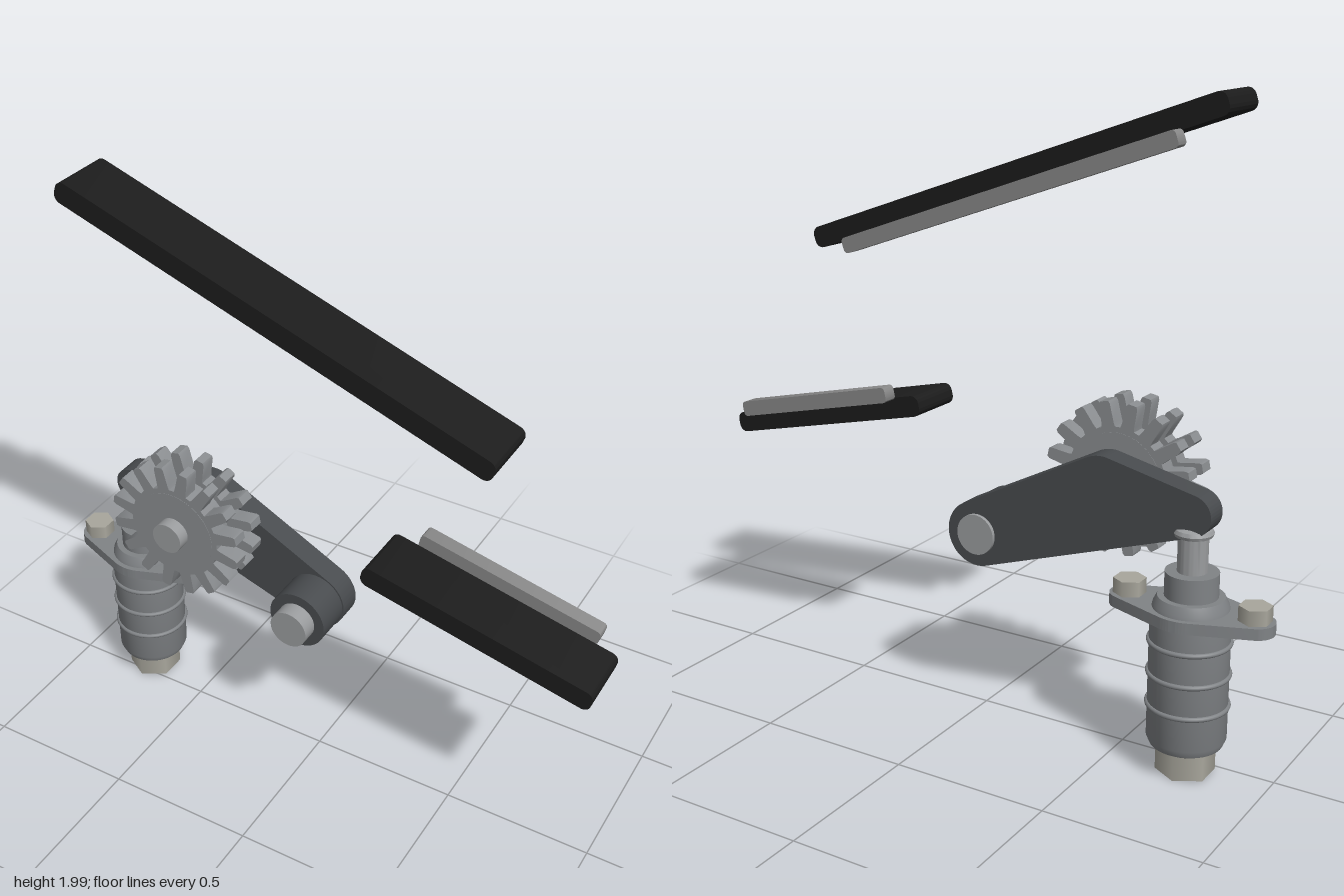
import * as THREE from 'three';
import { toCreasedNormals } from 'three/addons/utils/BufferGeometryUtils.js';

const material = (color) => new THREE.MeshStandardMaterial({ color });
const MAT = {
  rubber: material(0x1c1c1c),
  bracket: material(0x888888),
  gear: material(0x8a8d90),
  arm: material(0x484b4e),
  body: material(0x808386),
  rod: material(0x9a9c9e),
  bolt: material(0xa8a69c),
};

function addMesh(parent, name, geometry, mat, x = 0, y = 0, z = 0) {
  const mesh = new THREE.Mesh(geometry, mat);
  mesh.name = name;
  mesh.position.set(x, y, z);
  parent.add(mesh);
  return mesh;
}

function extrude(shape, depth) {
  const g = new THREE.ExtrudeGeometry(shape, { depth, bevelEnabled: false, curveSegments: 24 });
  return toCreasedNormals(g, 0.5);
}

// Cylinder running along z from z0 to z1
function zCylinder(r, z0, z1) {
  return new THREE.CylinderGeometry(r, r, z1 - z0, 40).rotateX(Math.PI / 2).translate(0, 0, (z0 + z1) / 2);
}

// Outline wrapped around circles [x, y, r] listed counter-clockwise
function wrapCircles(circles) {
  const n = circles.length;
  const exit = circles.map(([x, y, r], i) => {
    const [x2, y2, r2] = circles[(i + 1) % n];
    const dx = x2 - x, dy = y2 - y;
    return Math.atan2(dy, dx) - Math.acos((r - r2) / Math.hypot(dx, dy));
  });
  const shape = new THREE.Shape();
  circles.forEach(([x, y, r], i) => shape.absarc(x, y, r, exit[(i + n - 1) % n], exit[i], false));
  return shape;
}

function roundedRect(w, h, r) {
  const a = w / 2 - r, b = h / 2 - r, q = Math.PI / 2;
  const shape = new THREE.Shape();
  shape.absarc(a, b, r, 0, q, false);
  shape.absarc(-a, b, r, q, 2 * q, false);
  shape.absarc(-a, -b, r, 2 * q, 3 * q, false);
  shape.absarc(a, -b, r, 3 * q, 4 * q, false);
  return shape;
}

function gearShape(teeth) {
  const profile = [[0.163, -8], [0.175, -6.8], [0.232, -4.4], [0.24, -3.2],
    [0.24, 3.2], [0.232, 4.4], [0.175, 6.8], [0.163, 8]];
  const points = [];
  for (let i = 0; i < teeth; i++) {
    for (const [r, deg] of profile) {
      const a = ((i + 0.5) / teeth) * Math.PI * 2 + THREE.MathUtils.degToRad(deg);
      points.push(new THREE.Vector2(r * Math.cos(a), r * Math.sin(a)));
    }
  }
  return new THREE.Shape(points);
}

// Sliding rail with a backing bar; side is -1 (bar below) or 1 (bar above)
function makeRail(name, length, barLength, barShift, side) {
  const rail = new THREE.Group();
  rail.name = name;
  addMesh(rail, 'slidingPad', extrude(roundedRect(length, 0.068, 0.026), 0.195), MAT.rubber, 0, 0, -0.02);
  addMesh(rail, 'backingBar', extrude(roundedRect(barLength, 0.05, 0.014), 0.05), MAT.bracket,
    barShift, side * 0.053, -0.07);
  return rail;
}

function makeTensioner() {
  const t = new THREE.Group();
  t.name = 'tensioner';

  const lathe = (pts) => toCreasedNormals(
    new THREE.LatheGeometry(pts.map(([r, y]) => new THREE.Vector2(r, y)), 48), 0.5);

  // Plug and housing
  addMesh(t, 'hexPlug', new THREE.CylinderGeometry(0.09, 0.09, 0.09, 6), MAT.bolt, 0, 0.045, 0);
  addMesh(t, 'housing', lathe([[0, 0.083], [0.094, 0.083], [0.11, 0.092], [0.12, 0.115], [0.12, 0.5], [0, 0.5]]), MAT.body);
  for (const y of [0.22, 0.32, 0.42]) {
    const ring = new THREE.TorusGeometry(0.12, 0.008, 10, 48).rotateX(Math.PI / 2);
    addMesh(t, 'housingRing', ring, MAT.body, 0, y, 0);
  }

  // Mounting flange with two bolts
  const outline = wrapCircles([[-0.2, 0, 0.06], [0, 0, 0.13], [0.2, 0, 0.06], [0, 0, 0.13]]);
  addMesh(t, 'flange', extrude(outline, 0.035).rotateX(-Math.PI / 2), MAT.body, 0, 0.49, 0);
  for (const x of [-0.2, 0.2]) {
    addMesh(t, 'flangeBolt', new THREE.CylinderGeometry(0.05, 0.05, 0.05, 6), MAT.bolt, x, 0.547, 0);
  }

  // Neck, collar and plunger
  addMesh(t, 'neck', lathe([[0, 0.52], [0.115, 0.52], [0.112, 0.535], [0.1, 0.56], [0.08, 0.56], [0.08, 0.635], [0, 0.635]]), MAT.body);
  addMesh(t, 'plunger', lathe([[0, 0.63], [0.045, 0.63], [0.045, 0.742], [0.056, 0.745], [0.06, 0.755],
    [0.055, 0.766], [0.035, 0.774], [0, 0.777]]), MAT.rod);
  return t;
}

export function createModel() {
  const model = new THREE.Group();
  model.name = 'chainTensionerAssembly';

  // Guide rails
  const upper = makeRail('upperRail', 1.5, 1.21, 0.005, -1);
  upper.position.set(-0.067, 1.722, 0);
  upper.rotation.z = THREE.MathUtils.degToRad(-19.3);
  const lower = makeRail('lowerRail', 0.772, 0.61, 0.004, 1);
  lower.position.set(0.62, 0.888, 0);
  lower.rotation.z = THREE.MathUtils.degToRad(-12.8);
  model.add(upper, lower);

  // Swing arm with its pivot
  const arm = new THREE.Group();
  arm.name = 'swingArm';
  const armOutline = wrapCircles([[-0.745, 0.815, 0.064], [-0.027, 0.62, 0.105], [-0.455, 0.845, 0.1]]);
  addMesh(arm, 'armPlate', extrude(armOutline, 0.08), MAT.arm, 0, 0, -0.1);
  addMesh(arm, 'pivotBoss', zCylinder(0.1, -0.03, 0.1), MAT.arm, -0.027, 0.62, 0);
  addMesh(arm, 'pivotPin', zCylinder(0.065, -0.112, 0.155), MAT.rod, -0.027, 0.62, 0);
  model.add(arm);

  // Double sprocket on its shaft
  const sprocket = new THREE.Group();
  sprocket.name = 'sprocket';
  sprocket.position.set(-0.455, 0.845, 0);
  for (const z of [0.003, 0.097]) {
    addMesh(sprocket, 'toothedWheel', extrude(gearShape(16), 0.053), MAT.gear, 0, 0, z);
  }
  addMesh(sprocket, 'hub', zCylinder(0.145, 0.002, 0.151), MAT.gear);
  addMesh(sprocket, 'shaft', zCylinder(0.053, -0.03, 0.193), MAT.rod);
  model.add(sprocket);

  // Hydraulic tensioner pushing the arm
  const tensioner = makeTensioner();
  tensioner.position.set(-0.74, 0, -0.06);
  model.add(tensioner);

  return model;
}
